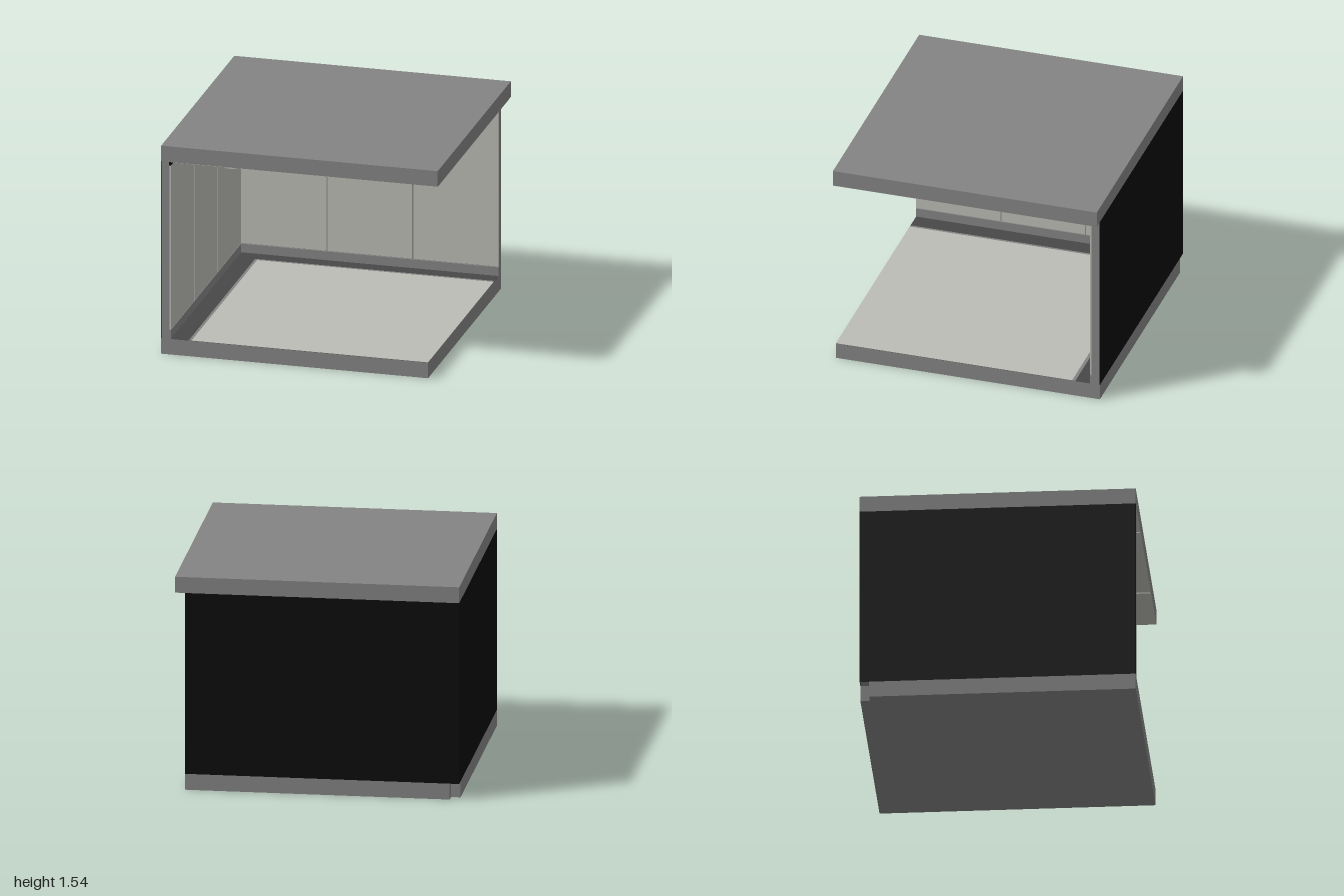
import * as THREE from 'three';

export function createModel() {
  const mat = (name, color) => {
    const m = new THREE.MeshStandardMaterial({ color });
    m.name = name;
    return m;
  };
  const grey = mat('structure grey', 0x848484);
  const pale = mat('panel pale', 0xbbbcb5);
  const black = mat('cladding black', 0x0c0c0c);
  const dark = mat('floor border dark', 0x484848);

  const model = new THREE.Group();
  model.name = 'cutawayRoom';
  // Box given by its two opposite corners
  const box = (name, m, x0, x1, y0, y1, z0, z1) => {
    const mesh = new THREE.Mesh(new THREE.BoxGeometry(x1 - x0, y1 - y0, z1 - z0), m);
    mesh.position.set((x0 + x1) / 2, (y0 + y1) / 2, (z0 + z1) / 2);
    mesh.name = name;
    model.add(mesh);
    return mesh;
  };

  const L = -1, R = 0.93, B = -0.965, F = 0.965; // outer limits
  const wx = -0.94, wz = -0.905;                 // inner wall faces
  const px = -0.93, pz = -0.893;                 // panel faces
  const floorY = 0.115, skirtY = 0.18, trimY = 1.398, ceilY = 1.425;

  // Floor slab with a small square notch in the back corner
  const n = 0.067;
  const s = new THREE.Shape([
    [L + n, -B], [R, -B], [R, -F], [L, -F], [L, -B - n], [L + n, -B - n],
  ].map(([x, y]) => new THREE.Vector2(x, y)));
  const slab = new THREE.Mesh(new THREE.ExtrudeGeometry(s, { depth: floorY, bevelEnabled: false }), grey);
  slab.rotation.x = -Math.PI / 2;
  slab.name = 'floorSlab';
  model.add(slab);

  // Floor finish: dark border, narrow edge strip, pale covering
  box('floorBorder', dark, px, R, floorY, floorY + 0.001, pz, F);
  box('floorEdgeStrip', grey, -0.8, R, floorY, floorY + 0.002, -0.785, F);
  box('floorCovering', pale, -0.78, R, floorY, floorY + 0.003, -0.762, F);

  // Walls with black outer cladding
  const c = 0.003;
  box('sideWall', grey, L + c, wx, floorY, ceilY, B + c, F);
  box('backWall', grey, wx, R, floorY, ceilY, B + c, wz);
  box('sideCladding', black, L, L + c, floorY, ceilY, B, F);
  box('backCladding', black, L + c, R, floorY, ceilY, B, B + c);

  // Skirting and black top trim along both walls
  box('sideSkirting', grey, wx, px, floorY, skirtY, wz, F);
  box('backSkirting', grey, px, R, floorY, skirtY, wz, pz);
  box('sideTopTrim', black, wx - 0.004, px, trimY, ceilY, wz, F + 0.001);
  box('backTopTrim', black, px, R + 0.001, trimY, ceilY, wz - 0.004, pz);

  // Three wall panels on each wall, with narrow joints
  const g = 0.004;
  for (let i = 0; i < 3; i++) {
    const w = (R - px) / 3, d = (F - pz) / 3;
    const x = px + i * w, z = pz + i * d;
    box('backPanel', pale, x + (i ? g : 0), x + w - (i < 2 ? g : 0), skirtY + 0.006, trimY, wz, pz);
    box('sidePanel', pale, wx, px, skirtY + 0.006, trimY, z + (i ? g : 0), z + d - (i < 2 ? g : 0));
  }

  // Roof slab and pale ceiling lining
  box('roofSlab', grey, -1, 1, ceilY, 1.54, B, F);
  box('ceilingLining', pale, wx, 1, ceilY - 0.002, ceilY, wz, F);

  // Two ceiling light strips, each in three lengths with black connectors
  const joints = [-0.32, 0.33];
  for (const x of [-0.5, 0.5]) {
    const ends = [pz, ...joints, F - 0.005];
    for (let i = 0; i < 3; i++) {
      box('lightStrip', pale, x - 0.034, x + 0.034, ceilY - 0.011, ceilY, ends[i], ends[i + 1]);
    }
    for (const z of joints) {
      box('lightConnector', black, x - 0.036, x + 0.036, ceilY - 0.013, ceilY, z - 0.025, z + 0.025);
    }
  }
  return model;
}
